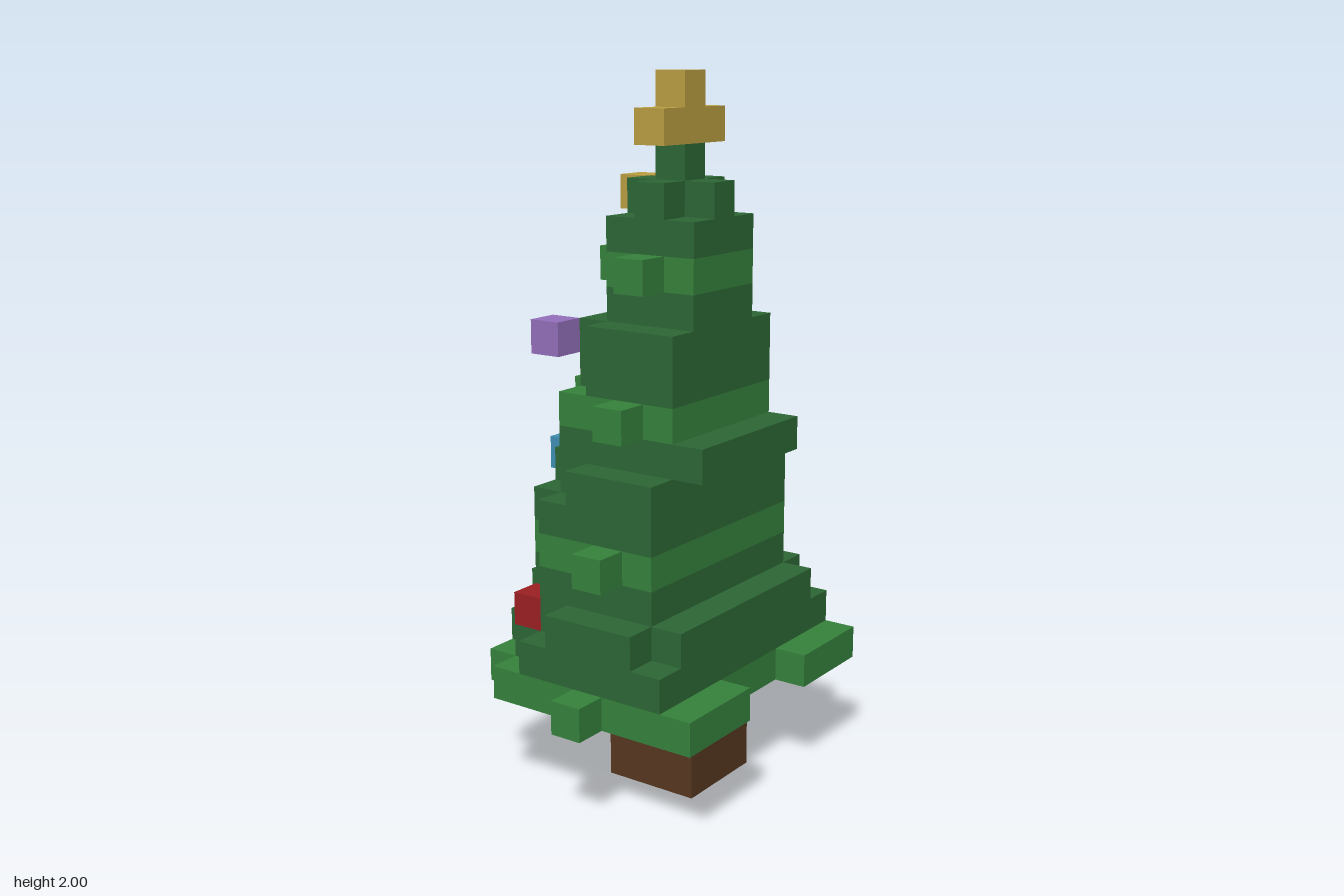
import * as THREE from 'three';

const U = 2 / 21; // edge of one block

// The six faces of a block: outward normal plus two in-plane axes (a x b = n)
const FACES = [
  [[1, 0, 0], [0, 1, 0], [0, 0, 1]],
  [[-1, 0, 0], [0, 0, 1], [0, 1, 0]],
  [[0, 1, 0], [0, 0, 1], [1, 0, 0]],
  [[0, -1, 0], [1, 0, 0], [0, 0, 1]],
  [[0, 0, 1], [1, 0, 0], [0, 1, 0]],
  [[0, 0, -1], [0, 1, 0], [1, 0, 0]],
];

function material(name, color) {
  const m = new THREE.MeshStandardMaterial({ color });
  m.name = name;
  return m;
}

export function createModel() {
  const mats = {
    brown: material('bark brown', 0x573820),
    dark: material('dark green', 0x2d6735),
    light: material('light green', 0x36823c),
    gold: material('gold', 0xbb9f41),
    red: material('red', 0x9b2022),
    blue: material('blue', 0x3f8fb4),
    purple: material('purple', 0x9470bc),
  };

  const parts = new Map(); // part name -> { mat, cells }
  const filled = new Set();
  const key = (x, y, z) => `${x},${y},${z}`;

  function block(part, mat, x, y, z) {
    if (filled.has(key(x, y, z))) return;
    filled.add(key(x, y, z));
    if (!parts.has(part)) parts.set(part, { mat, cells: [] });
    parts.get(part).cells.push([x, y, z]);
  }
  // Rows of blocks, front to back; each number is the row's half width
  function layer(part, mat, y, front, halves) {
    halves.forEach((h, i) => {
      for (let x = -h; x <= h; x++) block(part, mat, x, y, front - i);
    });
  }

  // Trunk
  for (let y = 0; y < 3; y++) layer('trunk', mats.brown, y, 1, [1, 1, 1]);

  // Dark foliage: [height, front row, half widths]
  [
    [4, 2, [4, 4, 4, 4, 4, 3, 2]],
    [5, 2, [3, 4, 4, 4, 3, 2, 1]],
    [6, 1, [3, 3, 3, 3, 2]],
    [8, 1, [3, 3, 3, 3, 2]],
    [9, 1, [3, 3, 3, 2, 1]],
    [10, 2, [2, 2, 2, 2, 2]],
    [12, 1, [2, 2, 2, 1]],
    [13, 1, [2, 2, 2, 1]],
    [14, 1, [1, 1, 1]],
    [16, 1, [1, 1, 1]],
    [17, 1, [0, 1, 0]],
    [18, 0, [0]],
  ].forEach(([y, f, h]) => layer('darkFoliage', mats.dark, y, f, h));

  // Light garland layers, with single blocks sticking out at sides and back
  [
    [3, 2, [4, 4, 5, 4, 4, 4, 3]],
    [7, 1, [3, 4, 3, 3, 2, 0]],
    [11, 1, [2, 3, 2, 2, 0]],
    [15, 1, [1, 2, 1, 0]],
  ].forEach(([y, f, h]) => layer('lightFoliage', mats.light, y, f, h));
  // Lowest front branches either side of the trunk
  for (const s of [-1, 1])
    for (let x = 2; x <= 4; x++) block('lightFoliage', mats.light, s * x, 3, 3);

  // Star
  layer('star', mats.gold, 19, 0, [1]);
  layer('star', mats.gold, 20, 0, [0]);

  // Baubles
  block('lowerGoldBauble', mats.gold, 3, 6, -4);
  block('upperGoldBauble', mats.gold, 1, 17, -2);
  block('lowerRedBauble', mats.red, -3, 5, -3);
  block('upperRedBauble', mats.red, 2, 14, -3);
  block('blueBauble', mats.blue, 0, 9, -4);
  block('purpleBauble', mats.purple, -2, 13, -3);

  // Skin each part with the exposed block faces only
  const group = new THREE.Group();
  group.name = 'blockTree';
  for (const [name, { mat, cells }] of parts) {
    const pos = [], nor = [], idx = [];
    for (const c of cells) {
      for (const [n, a, b] of FACES) {
        if (filled.has(key(c[0] + n[0], c[1] + n[1], c[2] + n[2]))) continue;
        const base = pos.length / 3;
        for (const [s, t] of [[-1, -1], [1, -1], [1, 1], [-1, 1]]) {
          const p = [0, 1, 2].map((i) => (n[i] + s * a[i] + t * b[i]) / 2);
          pos.push((c[0] + p[0]) * U, (c[1] + 0.5 + p[1]) * U, (c[2] + 0.5 + p[2]) * U);
          nor.push(...n);
        }
        idx.push(base, base + 1, base + 2, base, base + 2, base + 3);
      }
    }
    const geo = new THREE.BufferGeometry();
    geo.setAttribute('position', new THREE.Float32BufferAttribute(pos, 3));
    geo.setAttribute('normal', new THREE.Float32BufferAttribute(nor, 3));
    geo.setIndex(idx);
    const mesh = new THREE.Mesh(geo, mat);
    mesh.name = name;
    group.add(mesh);
  }
  return group;
}
